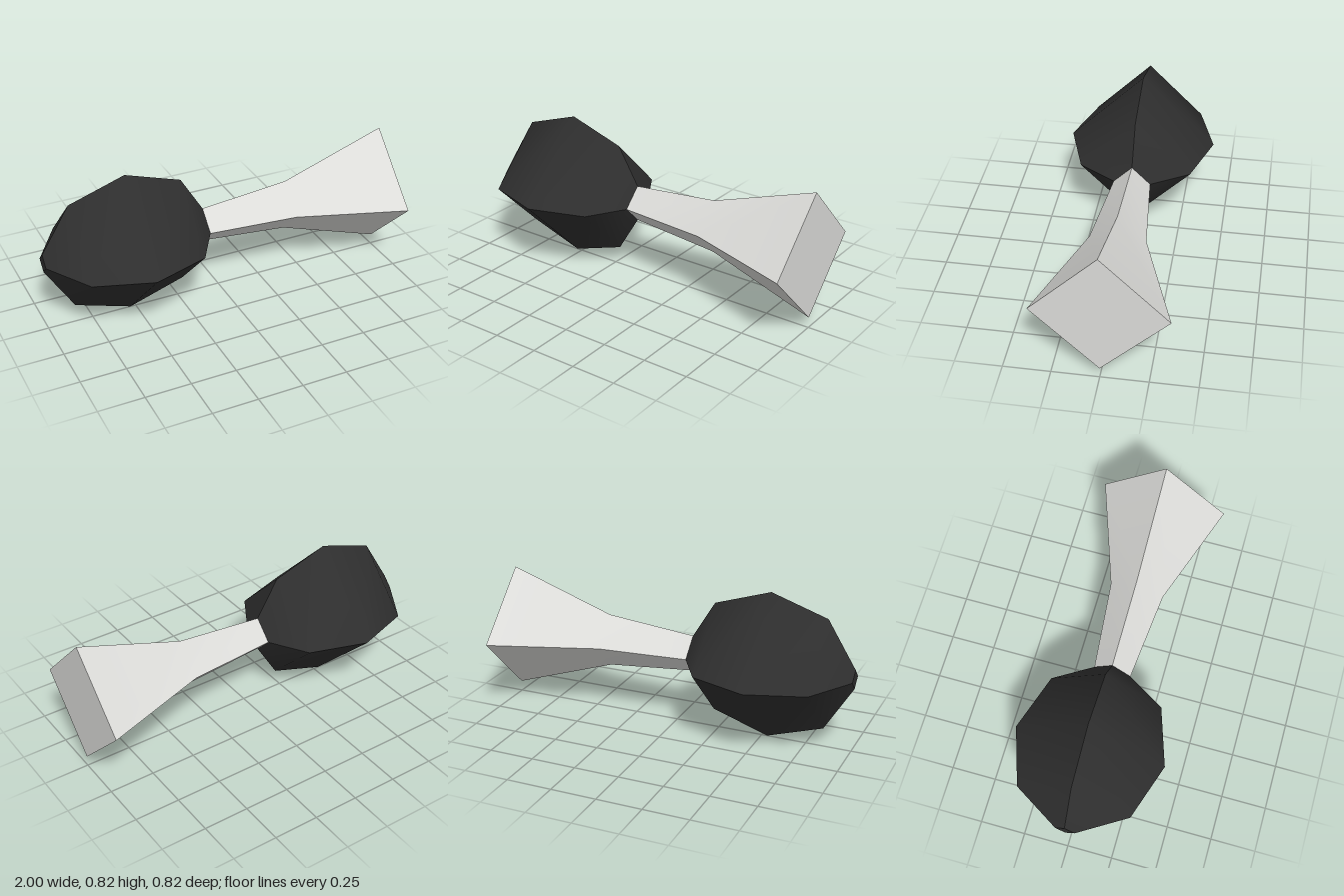
import * as THREE from 'three';
import { toCreasedNormals } from 'three/addons/utils/BufferGeometryUtils.js';

const bodyHeight = 0.412;

// Four-sided solid along x from [x, radius] pairs, corners up, down, front and back
function fourSided(name, profile, material) {
  const points = profile.map(([x, r]) => new THREE.Vector2(r, x));
  const lathe = new THREE.LatheGeometry(points, 4);
  lathe.rotateZ(-Math.PI / 2);
  const mesh = new THREE.Mesh(toCreasedNormals(lathe, 0.68), material);
  mesh.name = name;
  mesh.position.y = bodyHeight;
  return mesh;
}

export function createModel() {
  const charcoal = new THREE.MeshStandardMaterial({ color: 0x2e2e2e });
  charcoal.name = 'charcoal';
  const paleGrey = new THREE.MeshStandardMaterial({ color: 0xdcdcd9 });
  paleGrey.name = 'pale grey';

  const group = new THREE.Group();
  group.name = 'facetedBulbWithFlare';

  // Rounded bulb with small flat ends
  group.add(fourSided('bulb', [
    [-1, 0], [-1, 0.053], [-0.843, 0.309], [-0.531, 0.412],
    [-0.219, 0.309], [-0.093, 0.102], [-0.093, 0],
  ], charcoal));

  // Slim neck opening into a wide, closed flare
  group.add(fourSided('flare', [
    [-0.093, 0], [-0.093, 0.102], [0.406, 0.15], [1, 0.353], [1, 0],
  ], paleGrey));

  return group;
}
